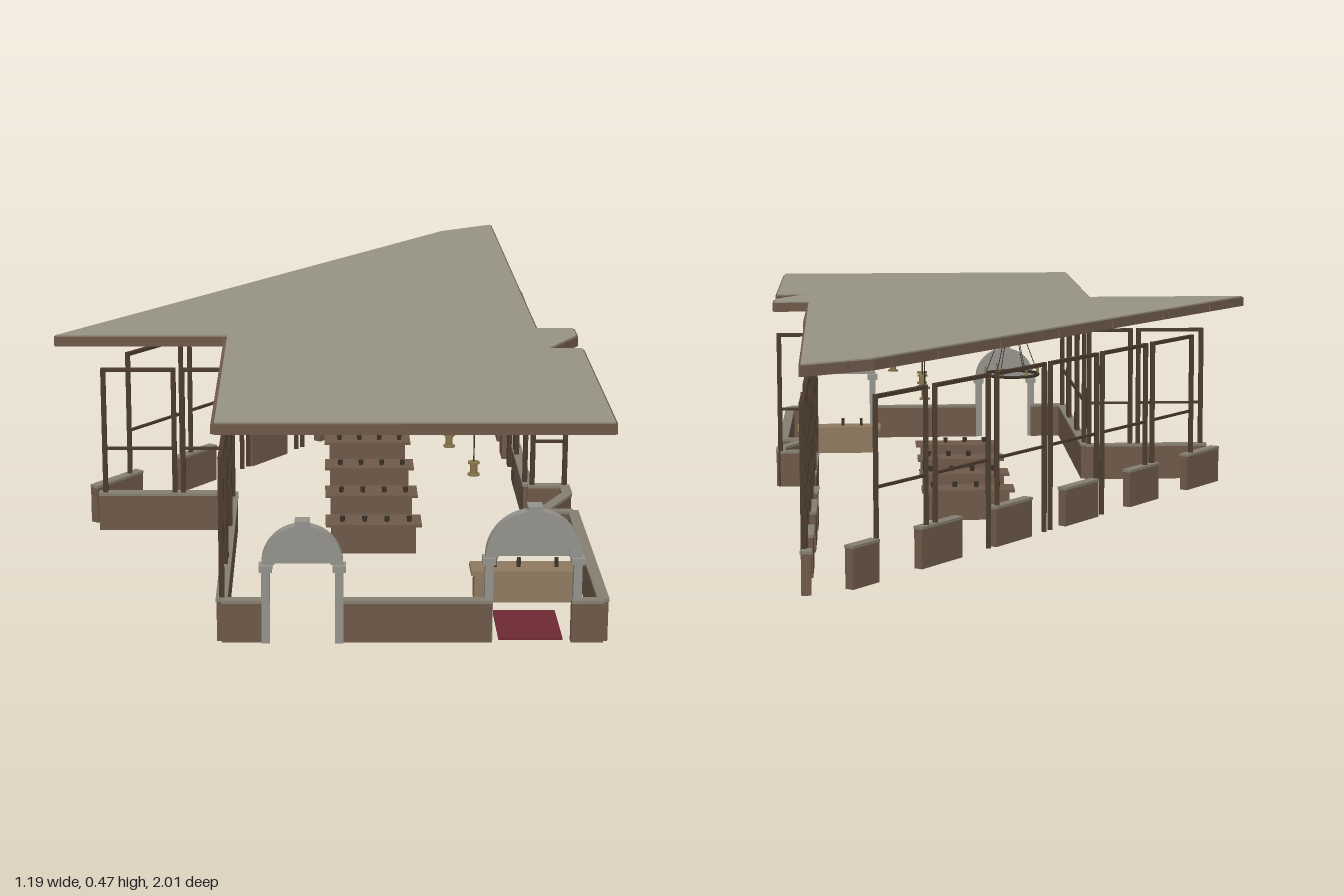
import * as THREE from 'three';

const mat = (color) => new THREE.MeshStandardMaterial({ color, side: THREE.DoubleSide });
const M = {
  roof: mat(0x979283), wood: mat(0x6e5a49), dark: mat(0x3b3229), post: mat(0x4b3b2d),
  stone: mat(0x94928c), trim: mat(0x857f70), tan: mat(0x8f7a60), red: mat(0x6e2a33), brass: mat(0x8a774c),
};

// Plan outline of the roof as [x, z]
const OUTLINE = [[-0.59, 0.29], [-0.2, 0.29], [-0.2, 1], [0.59, 1], [0.59, 0.41], [0.515, 0.41],
  [0.59, 0.29], [0.59, 0.22], [0.505, 0.22], [0.49, -1], [0.35, -0.91]];
const TOP = 0.465, HEAD = 0.385, RAIL = 0.195, LOW = 0.09;
const hypX = (z) => -0.335 - 0.783 * z; // slanted wall line
const hyp = (x) => [x, (-0.335 - x) / 0.783];

export function createModel() {
  const root = new THREE.Group();
  root.name = 'pavilion';

  const add = (name, geo, material, x = 0, y = 0, z = 0, parent = root) => {
    const m = new THREE.Mesh(geo, material);
    m.name = name;
    m.position.set(x, y, z);
    parent.add(m);
    return m;
  };
  const box = (name, w, h, d, material, x, y0, z, parent) =>
    add(name, new THREE.BoxGeometry(w, h, d), material, x, y0 + h / 2, z, parent);
  // Straight bar between two plan points, from height y0 to y1
  const bar = (name, [ax, az], [bx, bz], width, y0, y1, material, parent) => {
    const m = box(name, Math.hypot(bx - ax, bz - az), y1 - y0, width, material, (ax + bx) / 2, y0, (az + bz) / 2, parent);
    m.rotation.y = -Math.atan2(bz - az, bx - ax);
    return m;
  };
  // Thin rod between two points in space
  const rod = (name, a, b, r, material, parent) =>
    add(name, new THREE.TubeGeometry(new THREE.LineCurve3(new THREE.Vector3(...a), new THREE.Vector3(...b)), 1, r, 5), material, 0, 0, 0, parent);

  // Spans where a line x = c or z = c lies inside the outline
  const spans = (axis, c) => {
    const hits = [];
    OUTLINE.forEach((p, i) => {
      const q = OUTLINE[(i + 1) % OUTLINE.length];
      if ((p[axis] > c) !== (q[axis] > c)) {
        hits.push(p[1 - axis] + (q[1 - axis] - p[1 - axis]) * (c - p[axis]) / (q[axis] - p[axis]));
      }
    });
    hits.sort((a, b) => a - b);
    return hits.reduce((out, h, i) => (i % 2 ? [...out, [hits[i - 1], h]] : out), []);
  };

  // Roof: covering, ceiling boards, fascia and a grid of beams
  const plan = new THREE.Shape(OUTLINE.map(([x, z]) => new THREE.Vector2(x, -z)));
  const slab = (name, y, depth, material) =>
    add(name, new THREE.ExtrudeGeometry(plan, { depth, bevelEnabled: false }).rotateX(-Math.PI / 2), material, 0, y, 0);
  slab('roofCovering', 0.461, TOP - 0.461, M.roof);
  slab('ceilingBoards', 0.456, 0.005, M.dark);
  OUTLINE.forEach((p, i) => bar('fascia', p, OUTLINE[(i + 1) % OUTLINE.length], 0.008, 0.44, 0.462, M.wood));
  for (let z = -0.94; z < 1; z += 0.05) {
    for (const [a, b] of spans(1, z)) bar('rafter', [a, z], [b, z], 0.012, 0.449, 0.457, M.post);
  }
  for (let z = -0.86; z < 1; z += 0.215) {
    for (const [a, b] of spans(1, z)) bar('crossBeam', [a, z], [b, z], 0.016, 0.441, 0.457, M.wood);
  }
  for (let x = -0.48; x < 0.59; x += 0.14) {
    for (const [a, b] of spans(0, x)) bar('longBeam', [x, a], [x, b], 0.016, 0.441, 0.457, M.wood);
  }

  // Low walls with a stone coping
  const lowWall = (p, q) => {
    bar('lowWall', p, q, 0.02, 0, LOW - 0.006, M.wood);
    bar('wallCoping', p, q, 0.024, LOW - 0.006, LOW, M.trim);
  };
  const wallLine = (pts) => pts.slice(1).forEach((p, i) => lowWall(pts[i], p));
  wallLine([[-0.5, 0.28], [-0.19, 0.28], [-0.19, 0.985], [-0.1, 0.985]]);
  lowWall([0.055, 0.985], [0.355, 0.985]);
  wallLine([[0.515, 0.985], [0.58, 0.985], [0.58, 0.415], [0.51, 0.415], [0.58, 0.29], [0.58, 0.225], [0.495, 0.225], [0.495, -0.1]]);
  for (const [a, b] of [[-0.27, -0.34], [-0.43, -0.58], [-0.72, -0.83], [-0.96, -0.99]]) lowWall([0.485, a], [0.485, b]);
  for (const [z, h] of [[0.17, 0.062], [-0.052, 0.052], [-0.27, 0.055], [-0.488, 0.055], [-0.7, 0.057], [-0.905, 0.034]]) {
    lowWall([hypX(z + h), z + h], [hypX(z - h), z - h]);
  }

  // Open frames: two posts, a header and a middle rail
  const frame = (p, q) => {
    const g = new THREE.Group();
    g.name = 'openFrame';
    root.add(g);
    for (const [x, z] of [p, q]) box('framePost', 0.011, HEAD, 0.011, M.post, x, 0, z, g);
    bar('frameHeader', p, q, 0.01, HEAD - 0.008, HEAD, M.post, g);
    bar('frameRail', p, q, 0.006, RAIL - 0.003, RAIL + 0.003, M.post, g);
  };
  for (const [a, b] of [[-0.44, -0.325], [-0.305, -0.185], [-0.17, -0.05], [-0.035, 0.08], [0.1, 0.22], [0.24, 0.345]]) frame(hyp(a), hyp(b));
  for (const [a, b] of [[0.97, 0.77], [0.735, 0.52], [0.5, 0.31]]) frame([-0.19, a], [-0.19, b]);
  for (const [a, b] of [[-0.485, -0.325], [-0.305, -0.2]]) frame([a, 0.28], [b, 0.28]);
  for (const [a, b] of [[0.2, -0.02], [-0.06, -0.21], [-0.23, -0.37], [-0.4, -0.54], [-0.57, -0.71], [-0.83, -0.96]]) frame([0.49, a], [0.49, b]);
  frame([0.505, 0.225], [0.58, 0.225]);

  // Arched doorways: jambs, capitals, fanlight, ring and keystone
  const archway = (x, half, spring, z) => {
    const g = new THREE.Group();
    g.name = 'archway';
    g.position.set(x, 0, z);
    root.add(g);
    for (const s of [-1, 1]) {
      box('jamb', 0.017, spring - 0.012, 0.022, M.stone, s * (half - 0.008), 0, 0, g);
      box('capital', 0.027, 0.014, 0.03, M.stone, s * (half - 0.008), spring - 0.016, 0, g);
    }
    const ring = new THREE.Shape();
    ring.absarc(0, 0, half, 0, Math.PI, false);
    ring.absarc(0, 0, half - 0.026, Math.PI, 0, true);
    add('archRing', new THREE.ExtrudeGeometry(ring, { depth: 0.024, bevelEnabled: false, curveSegments: 16 }), M.stone, 0, spring, -0.012, g);
    const fan = new THREE.Shape();
    fan.absarc(0, 0, half - 0.024, 0, Math.PI, false);
    add('fanlight', new THREE.ExtrudeGeometry(fan, { depth: 0.008, bevelEnabled: false, curveSegments: 16 }), M.stone, 0, spring, -0.004, g);
    box('keystone', 0.03, 0.03, 0.03, M.stone, 0, spring + half - 0.02, 0, g);
  };
  archway(-0.027, 0.082, 0.168, 0.988);
  archway(0.437, 0.097, 0.182, 0.982);

  // Serving tables in a row, each with a few small cups
  for (let i = 0; i < 4; i++) {
    const g = new THREE.Group();
    g.name = 'servingTable';
    g.position.set(0.13, 0, 0.43 - i * 0.215);
    root.add(g);
    box('tableBody', 0.19, 0.066, 0.05, M.wood, 0, 0, 0, g);
    box('tableTop', 0.215, 0.006, 0.075, M.wood, 0, 0.066, 0, g);
    for (const x of [-0.07, -0.02, 0.03, 0.08]) add('cup', new THREE.CylinderGeometry(0.006, 0.005, 0.012, 8), M.dark, x, 0.078, 0.01, g);
  }

  // Reception desk and doormat
  box('deskBody', 0.21, 0.062, 0.05, M.tan, 0.44, 0, 0.74);
  box('deskTop', 0.225, 0.01, 0.065, M.tan, 0.44, 0.062, 0.74);
  for (const x of [0.38, 0.43, 0.51]) box('deskItem', 0.008, 0.02, 0.008, M.dark, x, 0.072, 0.74);
  box('doormat', 0.13, 0.004, 0.16, M.red, 0.435, 0, 0.9);

  // Hanging lamps
  for (const [x, z] of [[0.335, 0.68], [0.295, 0.47], [0.225, 0.23], [0.225, 0.17], [0.225, -0.05]]) {
    rod('lampCord', [x, 0.285, z], [x, 0.456, z], 0.0015, M.dark);
    add('lampBody', new THREE.CylinderGeometry(0.008, 0.008, 0.025, 10), M.brass, x, 0.27, z);
    for (const y of [0.258, 0.284]) add('lampRim', new THREE.CylinderGeometry(0.013, 0.013, 0.004, 10), M.brass, x, y, z);
  }

  // Ring chandelier on slanting wires
  const c = [0, 0.23], R = 0.066;
  add('chandelierRing', new THREE.TorusGeometry(R, 0.004, 6, 24).rotateX(Math.PI / 2), M.dark, c[0], 0.278, c[1]);
  for (let i = 0; i < 6; i++) {
    const a = i * Math.PI / 3, x = c[0] + R * Math.cos(a), z = c[1] + R * Math.sin(a);
    rod('chandelierWire', [x, 0.278, z], [c[0], 0.456, c[1]], 0.001, M.dark);
    add('candle', new THREE.CylinderGeometry(0.003, 0.003, 0.018, 6), M.brass, x, 0.289, z);
  }
  return root;
}
